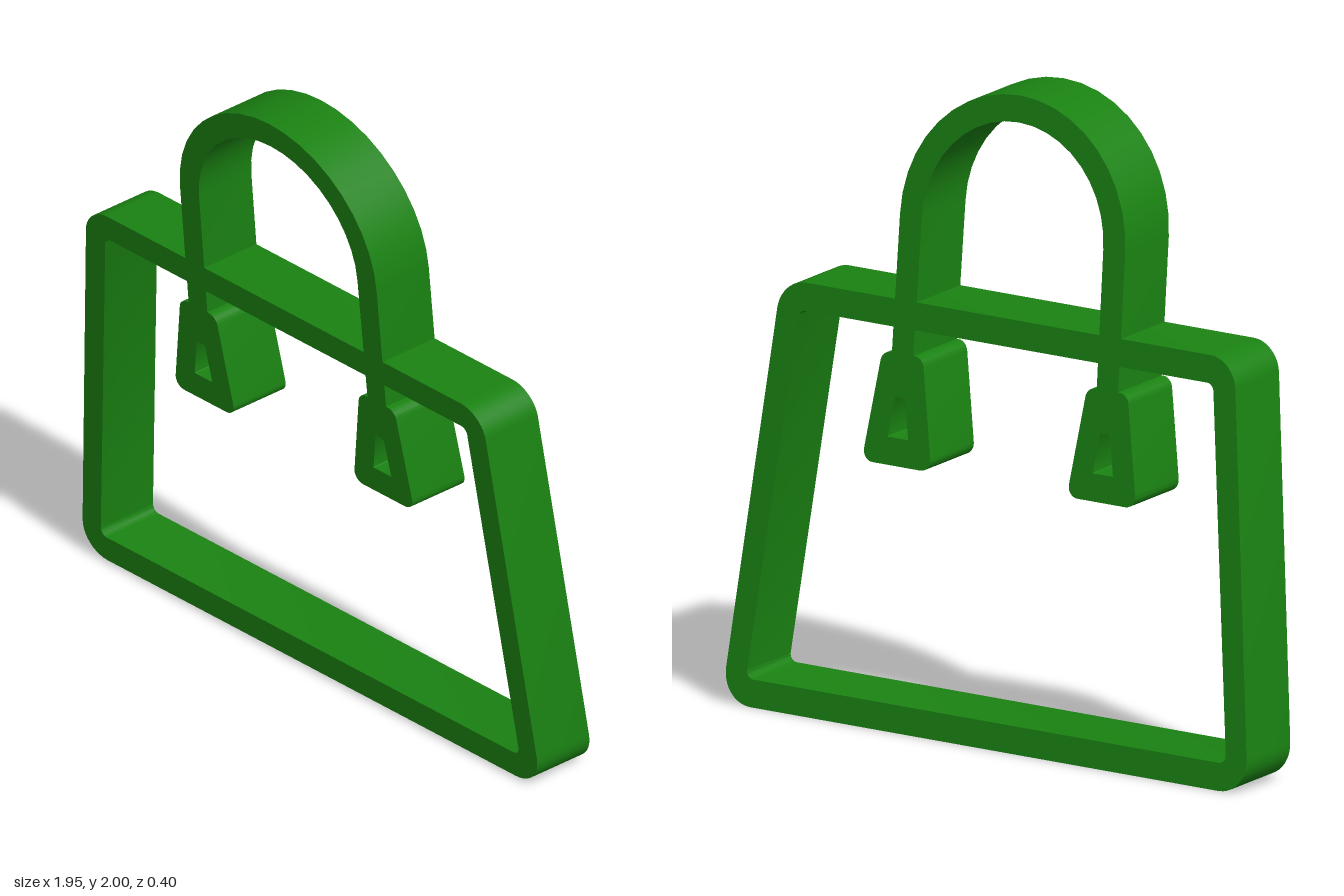
import * as THREE from 'three';
import { toCreasedNormals } from 'three/addons/utils/BufferGeometryUtils.js';

const DEPTH = 0.22;
const material = new THREE.MeshStandardMaterial({ color: 0x1a8212 });

// Closed path through corners [x, y, radius], each corner rounded
function roundedPath(corners, path) {
  const n = corners.length;
  corners.forEach(([x, y, r], i) => {
    const p = new THREE.Vector2(x, y);
    const toPrev = new THREE.Vector2(...corners[(i + n - 1) % n].slice(0, 2)).sub(p).normalize();
    const toNext = new THREE.Vector2(...corners[(i + 1) % n].slice(0, 2)).sub(p).normalize();
    const d = r / Math.tan(Math.acos(toPrev.dot(toNext)) / 2);
    const at = (dir, s) => p.clone().addScaledVector(dir, d * s);
    const a = at(toPrev, 1), b = at(toPrev, 0.45), c = at(toNext, 0.45), e = at(toNext, 1);
    if (i === 0) path.moveTo(a.x, a.y); else path.lineTo(a.x, a.y);
    path.bezierCurveTo(b.x, b.y, c.x, c.y, e.x, e.y);
  });
  path.closePath();
  return path;
}

// Symmetric trapezoid about x = cx
function trapezoid(path, cx, bottom, top, halfBottom, halfTop, rBottom, rTop) {
  return roundedPath([
    [cx - halfBottom, bottom, rBottom], [cx + halfBottom, bottom, rBottom],
    [cx + halfTop, top, rTop], [cx - halfTop, top, rTop],
  ], path);
}

// Extrude a front outline, then lean it forward with a slight rise to the front
function leaningPart(name, shape) {
  const extruded = new THREE.ExtrudeGeometry(shape, { depth: DEPTH, bevelEnabled: false, curveSegments: 10 });
  const pos = extruded.attributes.position;
  for (let i = 0; i < pos.count; i++) {
    const y = pos.getY(i), z = pos.getZ(i);
    pos.setY(i, y + 0.045 * z);
    pos.setZ(i, -0.2 + 0.0905 * y + z);
  }
  const mesh = new THREE.Mesh(toCreasedNormals(extruded, 0.6), material);
  mesh.name = name;
  return mesh;
}

export function createModel() {
  const group = new THREE.Group();
  group.name = 'handbagOutline';

  // Hollow bag body
  const body = trapezoid(new THREE.Shape(), 0, 0, 1.31, 0.987, 0.849, 0.1, 0.1);
  body.holes.push(trapezoid(new THREE.Path(), 0, 0.085, 1.225, 0.9, 0.775, 0.025, 0.025));
  group.add(leaningPart('bagFrame', body));

  // Arched handle with straight legs reaching down to the tabs
  const handle = new THREE.Shape();
  const spring = 1.568, foot = 1.13;
  handle.moveTo(0.424, foot);
  handle.lineTo(0.422, spring);
  handle.absarc(0, spring, 0.422, 0, Math.PI, false);
  handle.lineTo(-0.424, foot);
  handle.lineTo(-0.344, foot);
  handle.lineTo(-0.34, spring);
  handle.absarc(0, spring, 0.34, Math.PI, 0, true);
  handle.lineTo(0.344, foot);
  handle.closePath();
  group.add(leaningPart('handle', handle));

  // Tabs with a tapered slot at the handle ends
  for (const side of [-1, 1]) {
    const cx = side * 0.384;
    const tab = trapezoid(new THREE.Shape(), cx, 0.805, 1.147, 0.13, 0.076, 0.035, 0.035);
    tab.holes.push(trapezoid(new THREE.Path(), cx, 0.89, 1.015, 0.038, 0.018, 0.003, 0.003));
    group.add(leaningPart(side > 0 ? 'leftTab' : 'rightTab', tab));
  }
  return group;
}
